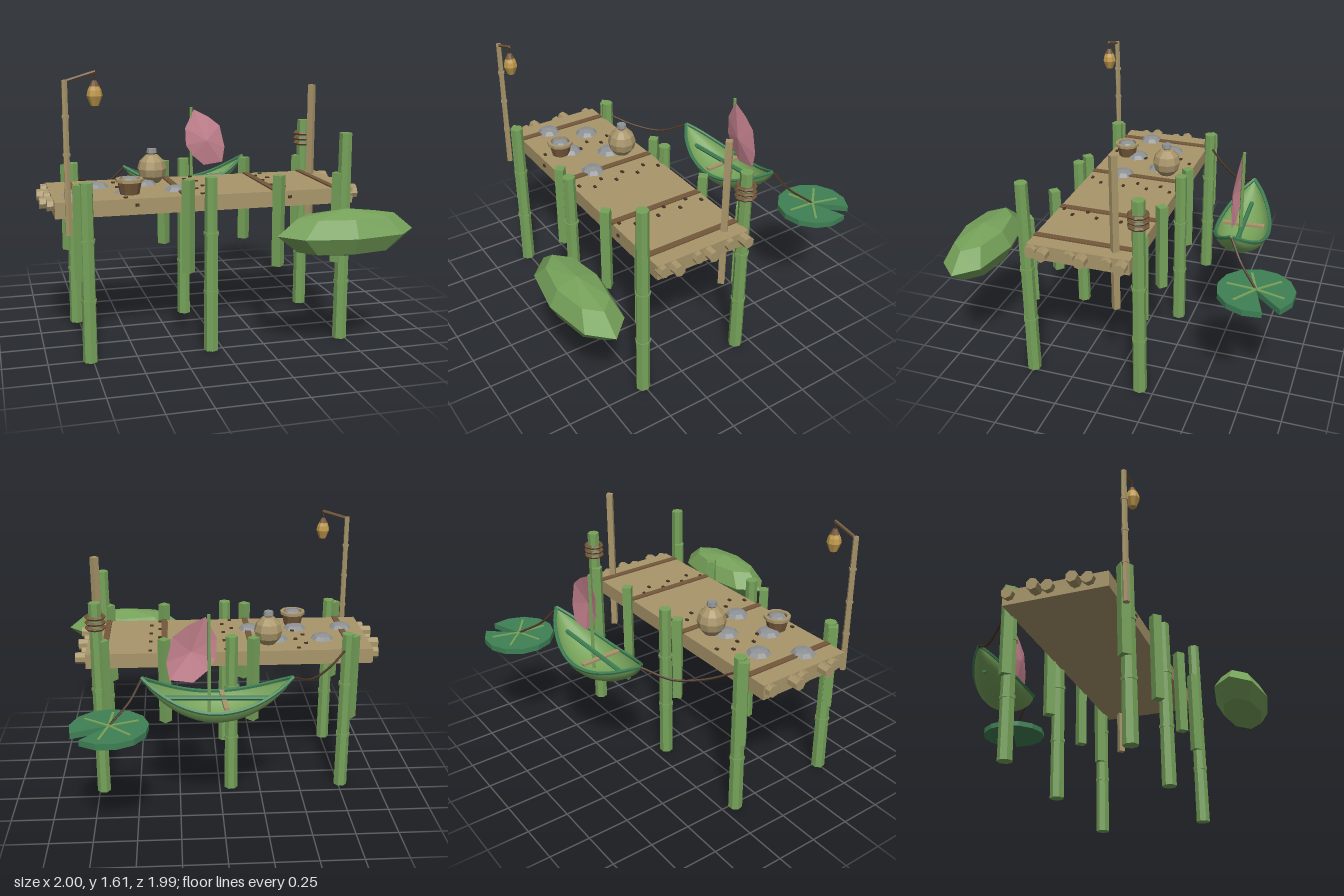
import * as THREE from 'three';

const V = (x, y, z) => new THREE.Vector3(x, y, z);

export function createModel() {
  const root = new THREE.Group();
  const mat = (name, hex, extra) => Object.assign(new THREE.MeshStandardMaterial({ color: hex, flatShading: true, ...extra }), { name });
  const tan = mat('tan wood', 0xa8956a);
  const green = mat('bamboo green', 0x76a25a);
  const leaf = mat('hull green', 0x76a25a, { flatShading: false, side: THREE.DoubleSide });
  const pad = mat('lily green', 0x3f8055);
  const pink = mat('petal pink', 0xc98592, { side: THREE.DoubleSide });
  const brown = mat('brown wood', 0x74573a);
  const dark = mat('dark brown', 0x4a3322);
  const grey = mat('stone grey', 0x8f9294);
  const gold = mat('lantern gold', 0xc0994c);

  const add = (name, geo, m, x = 0, y = 0, z = 0, parent = root) => {
    const mesh = new THREE.Mesh(geo, m);
    mesh.name = name;
    mesh.position.set(x, y, z);
    parent.add(mesh);
    return mesh;
  };
  const box = (name, m, w, h, d, x, y, z) => add(name, new THREE.BoxGeometry(w, h, d), m, x, y, z);
  // upright pole from y0 to y1
  const pole = (name, m, r0, r1, sides, x, y0, y1, z) =>
    add(name, new THREE.CylinderGeometry(r1, r0, y1 - y0, sides), m, x, (y0 + y1) / 2, z);
  // straight rod between two points
  const rod = (name, m, r, a, b, sides = 6) => {
    const mesh = add(name, new THREE.CylinderGeometry(r, r, a.distanceTo(b), sides), m);
    mesh.position.copy(a).add(b).multiplyScalar(0.5);
    mesh.quaternion.setFromUnitVectors(V(0, 1, 0), b.clone().sub(a).normalize());
    return mesh;
  };
  const tube = (name, m, pts, r, n = 16) =>
    add(name, new THREE.TubeGeometry(new THREE.CatmullRomCurve3(pts), n, r, 5), m);
  const lathe = (name, m, pts, sides, x, y, z) =>
    add(name, new THREE.LatheGeometry(pts.map(p => new THREE.Vector2(...p)), sides), m, x, y, z);

  // Deck with log ends
  box('deck', tan, 1.73, 0.09, 0.6, -0.065, 0.855, 0.16);
  const logEnd = (x0, x1, z) => rod('logEnd', tan, 0.035, V(x0, 0.866, z), V(x1, 0.866, z), 7);
  [[-0.1, 0.86], [-0.01, 0.83], [0.13, 0.86], [0.205, 0.83], [0.355, 0.86], [0.43, 0.83]]
    .forEach(([z, x]) => logEnd(0.78, x, z));
  [[-0.1, -0.965], [0.06, -1], [0.13, -0.965], [0.28, -1], [0.355, -0.965]]
    .forEach(([z, x]) => logEnd(-0.91, x, z));

  // Crossbars with slim stakes at both ends
  for (const x of [-0.8, -0.2, 0.33, 0.69]) {
    box('crossbar', brown, 0.037, 0.012, 0.6, x, 0.902, 0.16);
    for (const z of [-0.17, 0.495]) pole('stake', green, 0.038, 0.038, 4, x, 0.47, 1, z);
  }

  // Nails in staggered rows
  for (const x of [-0.51, -0.07, 0.385]) {
    for (let i = 0; i < 8; i++)
      box('nail', dark, 0.022, 0.012, 0.016, x + (i % 2 ? -0.028 : 0.028), 0.902, -0.1 + i * 0.075);
  }
  for (const x of [-0.48, 0.41]) box('frontNail', dark, 0.022, 0.016, 0.012, x, 0.865, 0.462);

  // Bamboo posts with joints
  for (const [x, h] of [[-0.765, 1.01], [-0.07, 1.01], [0.725, 1.23]]) {
    for (const z of [-0.165, 0.505]) {
      pole('post', green, 0.042, 0.037, 7, x, 0, h, z);
      for (const y of [0.35, 0.69]) pole('postJoint', green, 0.045, 0.045, 7, x, y - 0.009, y + 0.009, z);
    }
  }
  // Rope coils on the back post
  for (const y of [1.08, 1.112, 1.145])
    add('ropeCoil', new THREE.TorusGeometry(0.051, 0.012, 5, 8).rotateX(Math.PI / 2), brown, 0.725, y, -0.165);

  pole('mooringPole', tan, 0.026, 0.026, 4, 0.725, 0.535, 1.465, -0.03);

  // Lamp post, arm and lantern
  pole('lampPost', tan, 0.019, 0.016, 6, -0.865, 0.735, 1.56, 0.53);
  for (const y of [0.97, 1.17, 1.37]) pole('lampPostJoint', tan, 0.022, 0.022, 6, -0.865, y - 0.007, y + 0.007, 0.53);
  rod('lampArm', brown, 0.009, V(-0.87, 1.55, 0.53), V(-0.705, 1.6, 0.53), 5);
  pole('lampCord', dark, 0.005, 0.005, 5, -0.71, 1.53, 1.6, 0.53);
  lathe('lantern', gold, [[0, 0], [0.022, 0.004], [0.042, 0.055], [0.036, 0.085], [0.018, 0.12], [0, 0.12]], 8, -0.71, 1.42, 0.53);
  pole('lanternCap', brown, 0.027, 0.012, 8, -0.71, 1.525, 1.555, 0.53);

  // Flat stones on the deck
  const dome = new THREE.SphereGeometry(1, 8, 4).scale(0.072, 0.03, 0.072);
  for (const [x, z] of [[-0.65, 0.065], [-0.365, 0.065], [-0.8, 0.265], [-0.505, 0.265], [-0.215, 0.265]])
    add('stone', dome, grey, x, 0.9, z);

  // Bucket with a stone inside
  lathe('bucket', brown, [[0, 0], [0.055, 0], [0.07, 0.075], [0.06, 0.075], [0.056, 0.06], [0, 0.06]], 10, -0.5, 0.905, 0.335);
  lathe('bucketRim', tan, [[0.06, 0], [0.08, 0], [0.08, 0.018], [0.06, 0.018], [0.06, 0]], 10, -0.5, 0.975, 0.335);
  add('bucketStone', new THREE.SphereGeometry(1, 8, 4).scale(0.06, 0.03, 0.06), grey, -0.5, 0.975, 0.335);

  // Jug with stopper
  lathe('jug', tan, [[0, 0], [0.045, 0], [0.078, 0.04], [0.088, 0.085], [0.075, 0.13], [0.04, 0.165], [0.02, 0.172], [0.02, 0.19], [0, 0.19]], 10, -0.305, 0.9, 0);
  pole('jugCollar', brown, 0.024, 0.024, 8, -0.305, 1.066, 1.078, 0);
  pole('jugStopper', grey, 0.032, 0.028, 8, -0.305, 1.08, 1.105, 0);

  // Floating leaf pod
  add('leafPod', new THREE.SphereGeometry(1, 8, 4).scale(0.395, 0.133, 0.165), green, 0.6, 0.733, 0.83);

  // Leaf boat: half-ellipse sections between keel and rim, lifted at the tips
  const cx = 0.033, cz = -0.582;
  const rim = (u, side) => V(cx + 0.42 * u, 0.775 + (u > 0 ? 0.165 : 0.13) * u * u,
    cz - 0.025 * u + side * 0.155 * Math.pow(1 - u * u, 0.85));
  const NU = 20, NV = 8, pos = [], idx = [];
  for (let i = 0; i <= NU; i++) {
    const u = -1 + 2 * i / NU, top = rim(u, 0), half = rim(u, 1).z - top.z;
    const depth = 0.105 * Math.pow(1 - u * u, 0.6);
    for (let j = 0; j <= NV; j++) {
      const t = Math.PI * j / NV;
      pos.push(top.x, top.y - depth * Math.sin(t), top.z + half * Math.cos(t));
      if (i < NU && j < NV) {
        const a = i * (NV + 1) + j, b = a + NV + 1;
        idx.push(a, a + 1, b, b, a + 1, b + 1);
      }
    }
  }
  const hull = new THREE.BufferGeometry();
  hull.setAttribute('position', new THREE.Float32BufferAttribute(pos, 3));
  hull.setIndex(idx);
  hull.computeVertexNormals();
  add('boatHull', hull, leaf);
  for (const side of [-1, 1]) {
    const pts = [];
    for (let i = 0; i <= 12; i++) pts.push(rim(-1 + i / 6, side));
    tube('boatRim', pad, pts, 0.011, 30);
  }
  box('boatSeat', tan, 0.028, 0.016, 0.25, 0, 0.785, -0.578).rotation.y = 0.06;
  rod('boatPaddle', pad, 0.014, V(-0.285, 0.785, -0.567), V(0.35, 0.815, -0.6));

  // Mast and petal sail, cupped toward the front
  pole('mast', green, 0.012, 0.01, 6, 0.083, 0.68, 1.285, -0.578);
  const edge = [[0.1, 1.27], [0.2, 1.22], [0.28, 1.157], [0.316, 1.01], [0.3, 0.907], [0.17, 0.89], [0.09, 0.96], [0.045, 1.03], [0.04, 1.147]];
  const tri = [];
  edge.forEach(([x, y], i) => {
    const [x2, y2] = edge[(i + 1) % edge.length];
    tri.push(0.18, 1.06, -0.54, x2, y2, -0.57, x, y, -0.57);
  });
  const sail = new THREE.BufferGeometry();
  sail.setAttribute('position', new THREE.Float32BufferAttribute(tri, 3));
  sail.computeVertexNormals();
  add('petalSail', sail, pink);

  // Lily pad with a notch and raised veins
  const px = 0.625, pz = -0.79, shape = new THREE.Shape();
  shape.moveTo(0, 0);
  for (let i = 0; i <= 12; i++) {
    const a = THREE.MathUtils.degToRad(47 + i * 333 / 12);
    shape.lineTo(0.213 * Math.cos(a), 0.213 * Math.sin(a));
  }
  shape.closePath();
  const padGeo = new THREE.ExtrudeGeometry(shape, { depth: 0.035, bevelEnabled: false }).rotateX(-Math.PI / 2);
  add('lilyPad', padGeo, pad, px, 0.71, pz);
  for (const deg of [75, 135, 200, 265, 325]) {
    const vein = add('padVein', new THREE.BoxGeometry(0.16, 0.006, 0.014).translate(0.085, 0, 0), green, px, 0.747, pz);
    vein.rotation.y = THREE.MathUtils.degToRad(deg);
  }

  // Mooring ropes
  tube('postRope', dark, [V(-0.745, 0.91, -0.19), V(-0.64, 0.855, -0.3), V(-0.51, 0.835, -0.43), V(-0.385, 0.9, -0.558)], 0.007);
  tube('padRope', dark, [V(0.45, 0.935, -0.607), V(0.52, 0.83, -0.68), V(0.62, 0.75, -0.785)], 0.007);
  return root;
}
